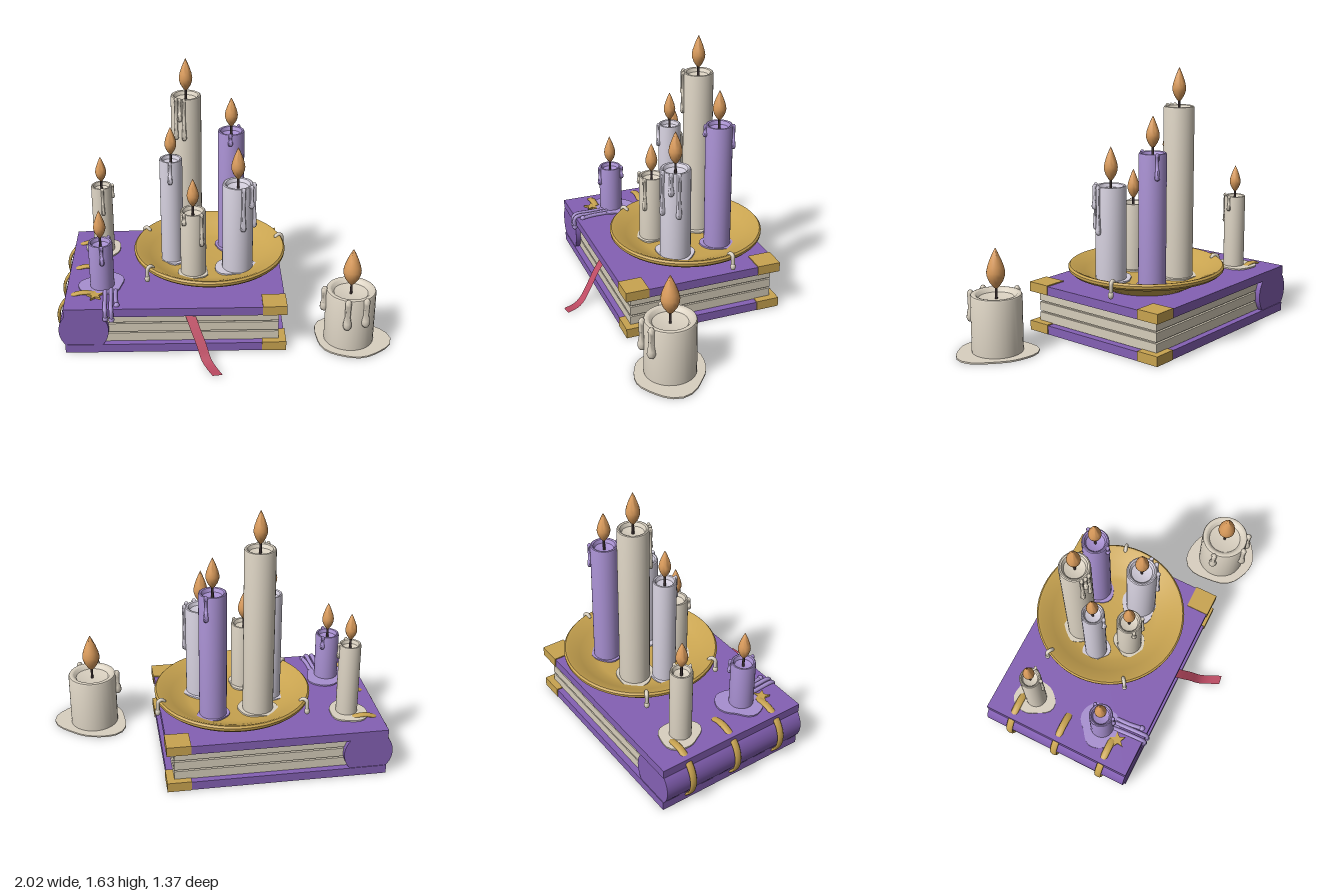
import * as THREE from 'three';
import { toCreasedNormals } from 'three/addons/utils/BufferGeometryUtils.js';

const V2 = (x, y) => new THREE.Vector2(x, y);
const V3 = (x, y, z) => new THREE.Vector3(x, y, z);

function material(name, color, side = THREE.FrontSide) {
  const m = new THREE.MeshStandardMaterial({ color, side });
  m.name = name;
  return m;
}

function add(parent, name, geometry, mat, x = 0, y = 0, z = 0) {
  const mesh = new THREE.Mesh(geometry, mat);
  mesh.name = name;
  mesh.position.set(x, y, z);
  parent.add(mesh);
  return mesh;
}

const lathe = (pts, sides = 32, crease = 0.6) =>
  toCreasedNormals(new THREE.LatheGeometry(pts.map(p => V2(...p)), sides), crease);

const tube = (pts, r) =>
  new THREE.TubeGeometry(new THREE.CatmullRomCurve3(pts.map(p => V3(...p))), 20, r, 10);

// Runny bead of wax hanging down from y = 0 by its length
function dripGeometry(len, r) {
  return lathe([[0, -len], [r * 0.7, -len + r * 0.3], [r, -len + r], [r * 0.9, -len + r * 1.9],
    [r * 0.62, -len * 0.55], [r * 0.7, -r * 1.2], [r * 0.75, -r * 0.5], [r * 0.45, r * 0.1], [0, r * 0.3]], 12, 3);
}

// Flat irregular puddle of wax, lying on y = 0
function poolGeometry(r, seed) {
  const pts = [];
  for (let i = 0; i < 28; i++) {
    const a = i / 28 * Math.PI * 2;
    const k = r * (1 + 0.09 * Math.sin(2 * a + seed) + 0.06 * Math.sin(3 * a + seed * 2.3) + 0.03 * Math.sin(5 * a + seed));
    pts.push(V2(Math.cos(a) * k, Math.sin(a) * k));
  }
  const g = new THREE.ExtrudeGeometry(new THREE.Shape(pts), { depth: 0.01, bevelEnabled: false });
  return g.rotateX(-Math.PI / 2);
}

export function createModel() {
  const model = new THREE.Group();
  model.name = 'candlesOnBook';
  const cover = material('coverPurple', 0x8460b4);
  const gold = material('gold', 0xc9a450);
  const paper = material('paper', 0xd6cdba);
  const cream = material('creamWax', 0xd9d0c0);
  const lavender = material('paleLavenderWax', 0xd2cddb);
  const violet = material('violetWax', 0xa78fd0);
  const flameMat = material('flameOrange', 0xdb9c5c);
  const wickMat = material('wickDark', 0x3a2f30);
  const red = material('ribbonRed', 0xbc4a62, THREE.DoubleSide);

  // Book, slightly turned
  const book = new THREE.Group();
  book.name = 'book';
  book.position.set(-0.25, 0, -0.1);
  book.rotation.y = -0.15;
  model.add(book);
  for (const [name, y] of [['bottomCover', 0.0275], ['topCover', 0.2775]]) {
    add(book, name, new THREE.BoxGeometry(1.33, 0.055, 0.99), cover, 0.0175, y, 0);
    for (const s of [-1, 1])
      add(book, 'cornerCap', new THREE.BoxGeometry(0.146, 0.06, 0.146), gold, 0.6155, y + 0.0045, s * 0.428);
  }
  // Page blocks with recessed grooves between them
  add(book, 'pageCore', new THREE.BoxGeometry(1.12, 0.196, 0.89), paper, 0.07, 0.1525, 0);
  for (let i = 0; i < 3; i++)
    add(book, 'pageBlock', new THREE.BoxGeometry(1.1425, 0.056, 0.92), paper, 0.07125, 0.0865 + i * 0.066, 0);
  // Rounded spine and its raised bands
  const spine = new THREE.CylinderGeometry(0.15, 0.15, 0.982, 40).rotateX(Math.PI / 2);
  add(book, 'spine', spine, cover, -0.5325, 0.1525, 0);
  const arc = THREE.MathUtils.degToRad(175);
  for (const z of [-0.32, 0, 0.32]) {
    const band = new THREE.TorusGeometry(0.165, 0.01, 8, 32, arc)
      .rotateZ(THREE.MathUtils.degToRad(62)).scale(1, 1, 2.3);
    add(book, 'spineBand', band, gold, -0.5325, 0.1525, z);
  }

  // Star ornament
  const starPts = [];
  for (let i = 0; i < 10; i++) {
    const a = Math.PI / 2 + i * Math.PI / 5, r = i % 2 ? 0.023 : 0.053;
    starPts.push(V2(Math.cos(a) * r, Math.sin(a) * r));
  }
  const star = new THREE.ExtrudeGeometry(new THREE.Shape(starPts), { depth: 0.014, bevelEnabled: false });
  add(model, 'star', star.rotateX(-Math.PI / 2), gold, -0.765, 0.304, 0.175);

  // Ribbon bookmark falling out of the pages
  const path = new THREE.CatmullRomCurve3([V3(-0.21, 0.23, 0.37), V3(-0.19, 0.17, 0.43), V3(-0.165, 0.1, 0.49),
    V3(-0.145, 0.03, 0.55), V3(-0.125, 0.007, 0.6), V3(-0.1, 0.005, 0.685)]);
  const ribbon = new THREE.PlaneGeometry(0.06, 1, 1, 20);
  const rp = ribbon.attributes.position;
  for (let i = 0; i < rp.count; i++) {
    const p = path.getPoint(0.5 - rp.getY(i));
    rp.setXYZ(i, p.x + rp.getX(i), p.y, p.z);
  }
  ribbon.computeVertexNormals();
  add(model, 'ribbon', ribbon, red);

  // Brass plate
  const plate = { x: -0.01, z: -0.12 };
  add(model, 'plate', lathe([[0, 0.304], [0.27, 0.304], [0.33, 0.335], [0.39, 0.375], [0.46, 0.393], [0.476, 0.408],
    [0.478, 0.425], [0.468, 0.436], [0.452, 0.432], [0.38, 0.392], [0.3, 0.352], [0.26, 0.345], [0, 0.345]], 64),
  gold, plate.x, 0, plate.z);
  // Wax spilling over the plate rim
  for (const [x, z] of [[-0.37, -0.29], [-0.41, 0.225], [0.465, -0.045]]) {
    const spill = new THREE.Group();
    spill.name = 'rimDrip';
    spill.position.set(plate.x, 0, plate.z);
    spill.rotation.y = Math.atan2(-z, x);
    add(spill, 'run', tube([[0.445, 0.428, 0], [0.462, 0.441, 0], [0.482, 0.432, 0], [0.486, 0.4, 0], [0.486, 0.36, 0]], 0.012), cream);
    add(spill, 'bead', new THREE.SphereGeometry(0.017, 12, 10).scale(1, 1.4, 1), cream, 0.487, 0.362, 0);
    add(spill, 'start', new THREE.SphereGeometry(0.012, 10, 8), cream, 0.445, 0.428, 0);
    model.add(spill);
  }

  // Candle: wax body with a hollow top, wick, flame, puddle and drips [dirX, dirZ, length]
  function candle(name, mat, x, z, r, base, top, tip, flameR, pool, drips, dripR = 0.016) {
    const g = new THREE.Group();
    g.name = name;
    g.position.set(x, 0, z);
    add(g, 'wax', lathe([[0, base], [r, base], [r, top - 0.012], [r * 0.97, top - 0.003], [r * 0.9, top],
      [r * 0.8, top - 0.004], [r * 0.68, top - 0.025], [r * 0.4, top - 0.034], [0, top - 0.036]]), mat);
    const start = top + 0.022, h = tip - start;
    add(g, 'wick', new THREE.CylinderGeometry(0.007, 0.008, 0.08, 8), wickMat, 0, top + 0.005, 0);
    add(g, 'flame', lathe([[0, 0], [0.35, 0.07], [0.75, 0.2], [0.97, 0.33], [1, 0.42], [0.88, 0.55],
      [0.6, 0.72], [0.28, 0.88], [0, 1]].map(([a, b]) => [a * flameR, b * h]), 20, 1), flameMat, 0, start, 0);
    const [px, pz, pr, sx, sz] = pool;
    add(g, 'puddle', poolGeometry(pr, x * 9 + z * 5).scale(sx, 1, sz), mat, px, base, pz);
    for (const [dx, dz, len] of drips) {
      const k = (r + dripR * 0.25) / Math.hypot(dx, dz);
      add(g, 'drip', dripGeometry(len, dripR), mat, dx * k, top + 0.004, dz * k);
    }
    model.add(g);
  }
  const onPlate = 0.345, onBook = 0.304;
  candle('tallCandle', cream, -0.127, -0.275, 0.093, onPlate, 1.4, 1.63, 0.041, [0, 0, 0.125, 1, 0.9],
    [[-0.07, 0.065, 0.27], [-0.025, 0.09, 0.27], [-0.05, 0.08, 0.15]]);
  candle('violetCandle', violet, 0.152, -0.255, 0.083, onPlate, 1.155, 1.37, 0.04, [0, 0, 0.1, 1, 1],
    [[0.055, -0.06, 0.16], [-0.02, 0.08, 0.08]]);
  candle('slimCandle', lavender, -0.245, -0.14, 0.07, onPlate, 1.045, 1.25, 0.036, [0, 0, 0.085, 1, 1],
    [[-0.015, 0.07, 0.15]]);
  candle('frontCandle', lavender, 0.14, 0.04, 0.095, onPlate, 0.93, 1.165, 0.042, [-0.01, -0.005, 0.122, 1, 1],
    [[0.015, 0.1, 0.29], [0.095, 0.03, 0.3], [0.06, 0.06, 0.15]], 0.019);
  candle('shortCandle', cream, -0.14, 0.05, 0.079, onPlate, 0.775, 0.985, 0.037, [0, 0, 0.1, 1, 0.95],
    [[0.04, 0.07, 0.22], [-0.055, 0.045, 0.08]]);
  candle('backBookCandle', cream, -0.66, -0.405, 0.066, onBook, 0.775, 0.97, 0.035, [-0.005, -0.01, 0.122, 1, 1],
    [[0, 0.07, 0.19], [0.07, 0.01, 0.1]], 0.013);
  candle('violetBookCandle', violet, -0.71, 0.055, 0.074, onBook, 0.615, 0.825, 0.037, [0, -0.015, 0.135, 1.02, 0.95],
    [[0, 0.08, 0.13], [0.05, -0.05, 0.09]], 0.016);
  candle('pillarCandle', cream, 0.765, 0.435, 0.152, 0, 0.357, 0.63, 0.055, [0.012, 0.003, 0.215, 1, 1.06],
    [[-0.145, -0.03, 0.16], [-0.055, 0.135, 0.2], [0.05, 0.14, 0.19]], 0.027);

  // Violet wax running over the front edge of the book
  for (const [x, zEnd, yEnd] of [[-0.718, 0.338, 0.245], [-0.682, 0.344, 0.238], [-0.645, 0.3, 0.308]]) {
    const over = yEnd < 0.3;
    const run = over
      ? [[x + 0.02, 0.308, 0.11], [x + 0.01, 0.311, 0.23], [x, 0.311, zEnd - 0.02], [x, 0.295, zEnd], [x, yEnd, zEnd]]
      : [[x + 0.01, 0.308, 0.13], [x, 0.31, 0.22], [x, yEnd, zEnd]];
    add(model, 'edgeDrip', tube(run, 0.013), violet);
    add(model, 'edgeDripBead', new THREE.SphereGeometry(0.018, 12, 10), violet, x, yEnd, zEnd);
  }
  return model;
}
